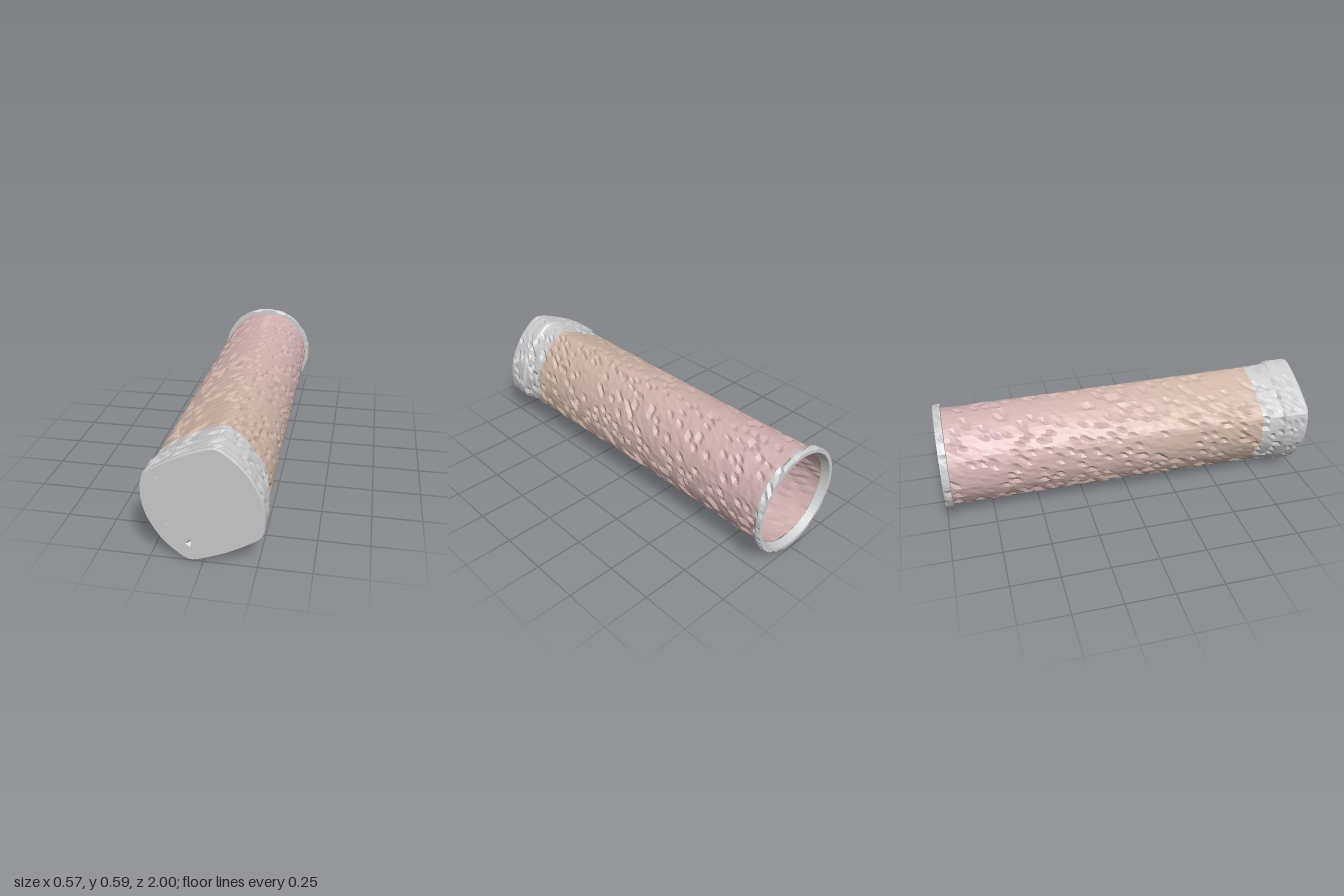
import * as THREE from 'three';

const SIDES = 72;
const CENTRE_Y = 0.3;
const FRONT = 1, COLLAR_END = 0.74, RIM_START = -0.96, BACK = -1;

// Half of the skewed rounded-square section; the other half is its point mirror.
const half = [[0.283, -0.02], [0.26, 0.08], [0.2, 0.185], [0.13, 0.255],
  [0.052, 0.295], [-0.1, 0.24], [-0.2, 0.185], [-0.272, 0.13]];
const outline = new THREE.CatmullRomCurve3(
  [...half, ...half.map(([x, y]) => [-x, -y])].map(([x, y]) => new THREE.Vector3(x, y, 0)),
  true, 'catmullrom', 0.4);
const squarePoints = Array.from({ length: SIDES }, (_, i) => outline.getPoint(i / SIDES));

// Repeatable noise from 0 to 1
function noise(a, b) {
  const s = Math.sin(a * 12.9898 + b * 78.233) * 43758.5453;
  return s - Math.floor(s);
}

// One section: blend 0 is the rounded square, blend 1 a circle of radius 0.26.
function section(z, scale, blend, rough = 0) {
  return squarePoints.map((p, i) => {
    const circle = p.clone().normalize().multiplyScalar(0.26);
    const key = Math.round((z + 2) * 1000);
    const chip = noise(key, i) > 0.86 ? 0.014 : 0.004 * noise(i, key);
    const q = p.clone().multiplyScalar(scale).lerp(circle, blend);
    q.multiplyScalar(1 - rough * chip / q.length());
    return new THREE.Vector3(q.x, q.y + CENTRE_Y, z);
  });
}

// Surface through a front-to-back list of sections
function loft(name, sections, material, inward = false) {
  const index = [];
  for (let j = 0; j < sections.length - 1; j++) {
    for (let i = 0; i < SIDES; i++) {
      const k = (i + 1) % SIDES;
      const a = j * SIDES + i, b = j * SIDES + k, c = a + SIDES, d = b + SIDES;
      if (inward) index.push(a, b, c, b, d, c);
      else index.push(a, c, b, b, c, d);
    }
  }
  const geometry = new THREE.BufferGeometry().setFromPoints(sections.flat());
  geometry.setIndex(index);
  geometry.computeVertexNormals();
  const mesh = new THREE.Mesh(geometry, material);
  mesh.name = name;
  return mesh;
}

function range(from, to, steps) {
  return Array.from({ length: steps + 1 }, (_, i) => from + (to - from) * i / steps);
}

export function createModel() {
  const group = new THREE.Group();
  const grey = new THREE.MeshStandardMaterial({ color: 0xcccccc, flatShading: true });
  const brown = new THREE.Color(0xcdb5a6), pink = new THREE.Color(0xd2b2b2);

  // Sleeve: changes from rounded square to round, and from brown to pink
  const sleeveBlend = z => (COLLAR_END - z) / (COLLAR_END - RIM_START);
  const bands = 6;
  const cuts = range(COLLAR_END, RIM_START, bands);
  for (let b = 0; b < bands; b++) {
    const color = brown.clone().lerp(pink, b / (bands - 1));
    const rows = range(cuts[b], cuts[b + 1], 10).map(z => section(z, 0.94, sleeveBlend(z), 1));
    group.add(loft('sleeveBand' + (b + 1), rows,
      new THREE.MeshStandardMaterial({ color, flatShading: true })));
  }

  // Collar at the closed end
  group.add(loft('frontCollar', [
    section(FRONT, 0.985, 0),
    section(0.99, 1, 0),
    ...range(0.97, 0.87, 5).map(z => section(z, 1, 0, 0.8)),
    section(0.855, 0.965, 0, 0.8),
    ...range(0.83, COLLAR_END, 4).map(z => section(z, 0.95 - (0.83 - z) * 0.11, 0, 1)),
  ], grey));

  // Flat end face with three small pyramid dents
  const endShape = new THREE.Shape(section(FRONT, 0.985, 0).map(p => new THREE.Vector2(p.x, p.y)));
  const dents = [[-0.203, 0.428, 3, 0.018], [-0.168, 0.194, 3, 0.018], [-0.06, 0.096, 4, 0.022]];
  const dentMaterial = grey.clone();
  dentMaterial.side = THREE.DoubleSide;
  for (const [x, y, sides, r] of dents) {
    const rim = Array.from({ length: sides }, (_, i) => {
      const a = -i * Math.PI * 2 / sides + 0.1;
      return new THREE.Vector2(x + r * Math.cos(a), y + r * Math.sin(a));
    });
    endShape.holes.push(new THREE.Path(rim));
    const points = [];
    rim.forEach((p, i) => {
      const q = rim[(i + 1) % sides];
      points.push(new THREE.Vector3(p.x, p.y, FRONT), new THREE.Vector3(x, y, FRONT - 0.02),
        new THREE.Vector3(q.x, q.y, FRONT));
    });
    const geometry = new THREE.BufferGeometry().setFromPoints(points);
    geometry.computeVertexNormals();
    const dent = new THREE.Mesh(geometry, dentMaterial);
    dent.name = 'endDent';
    group.add(dent);
  }
  const endFace = new THREE.Mesh(new THREE.ShapeGeometry(endShape), grey);
  endFace.name = 'frontEndFace';
  endFace.position.z = FRONT;
  group.add(endFace);

  // Raised rim around the open end, with a thin lip turning inside
  const ring = (z, r, rough) => section(z, 1, 1, rough).map(p =>
    new THREE.Vector3(p.x * r / 0.26, CENTRE_Y + (p.y - CENTRE_Y) * r / 0.26, z));
  group.add(loft('backRim', [
    ring(RIM_START, 0.255, 0), ring(RIM_START - 0.002, 0.282, 0.8), ring(-0.98, 0.284, 0.8),
    ring(BACK, 0.28, 0.6), ring(BACK, 0.258, 0), ring(RIM_START, 0.245, 0),
  ], grey));

  // Hollow inside
  const inside = new THREE.MeshStandardMaterial({ color: pink, flatShading: true });
  const depth = 0.95;
  const boreRows = range(depth, RIM_START, 40).map(z => {
    const blend = Math.max(0, sleeveBlend(z));
    return section(z, 0.89, blend, 0.5).map(p => new THREE.Vector3(
      p.x * (1 - 0.058 * blend), CENTRE_Y + (p.y - CENTRE_Y) * (1 - 0.058 * blend), z));
  });
  group.add(loft('bore', boreRows, inside, true));
  const floorShape = new THREE.Shape(boreRows[0].map(p => new THREE.Vector2(p.x, p.y)));
  const floor = new THREE.Mesh(new THREE.ShapeGeometry(floorShape),
    new THREE.MeshStandardMaterial({ color: 0xcccccc, side: THREE.DoubleSide }));
  floor.name = 'boreFloor';
  floor.position.z = depth;
  group.add(floor);

  return group;
}
